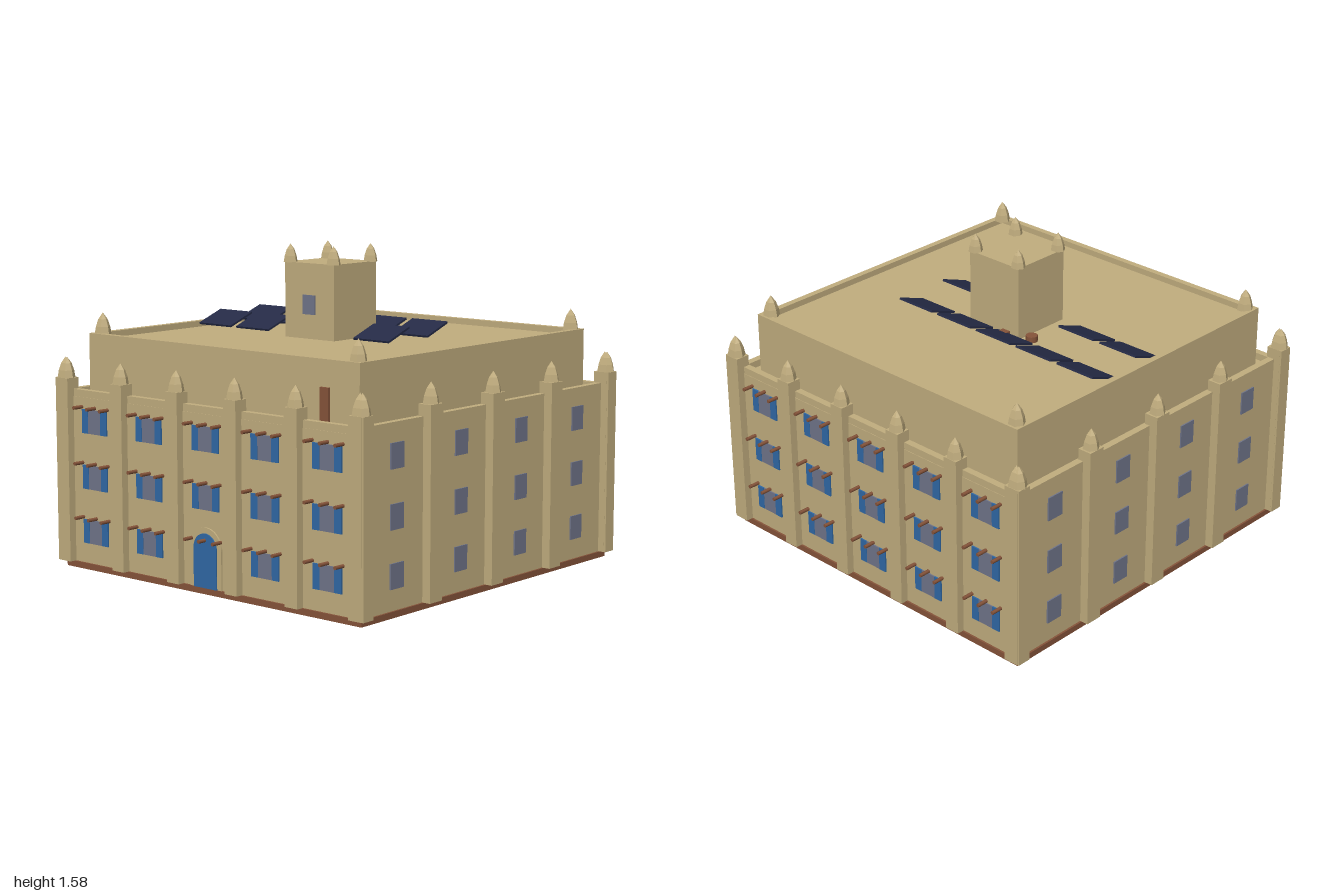
import * as THREE from 'three';

const mat = (name, color) => {
  const m = new THREE.MeshStandardMaterial({ color });
  m.name = name;
  return m;
};

export function createModel() {
  const stone = mat('stone', 0xc2ae7f);
  const wood = mat('brown wood', 0x86543a);
  const blue = mat('blue paint', 0x3069a6);
  const glass = mat('grey glass', 0x70758a);
  const solar = mat('solar navy', 0x252b47);

  const model = new THREE.Group();
  model.name = 'building';

  const add = (name, geometry, material, x = 0, y = 0, z = 0, parent = model) => {
    const mesh = new THREE.Mesh(geometry, material);
    mesh.name = name;
    mesh.position.set(x, y, z);
    parent.add(mesh);
    return mesh;
  };
  const box = (name, w, h, d, material, x, y, z, parent) =>
    add(name, new THREE.BoxGeometry(w, h, d), material, x, y, z, parent);
  // Box standing on a given height
  const block = (name, w, h, d, material, x, y0, z, parent) =>
    box(name, w, h, d, material, x, y0 + h / 2, z, parent);

  // Square wall ring around a roof
  const parapet = (name, half, inner, y0, h) => {
    const square = (Type, s) => {
      const p = new Type();
      p.moveTo(-s, -s).lineTo(s, -s).lineTo(s, s).lineTo(-s, s).closePath();
      return p;
    };
    const shape = square(THREE.Shape, half);
    shape.holes.push(square(THREE.Path, inner));
    const g = new THREE.ExtrudeGeometry(shape, { depth: h, bevelEnabled: false });
    add(name, g.rotateX(-Math.PI / 2), stone, 0, y0, 0);
  };

  // Six-sided pointed spire with flat facets
  const spireProfile = [[0, 0], [0.04, 0], [0.034, 0.035], [0.022, 0.07], [0, 0.1]]
    .map(([r, y]) => new THREE.Vector2(r, y));
  const spireGeo = new THREE.LatheGeometry(spireProfile, 6, Math.PI / 6).toNonIndexed();
  spireGeo.computeVertexNormals();
  const spire = (x, y, z, s = 1) =>
    add('spire', spireGeo, stone, x, y, z).scale.setScalar(s);

  // Plinth, main storeys and upper storey
  block('plinth', 1.9, 0.03, 1.905, wood, 0, 0, 0);
  block('mainWalls', 1.88, 0.82, 1.885, stone, 0, 0.03, 0);
  parapet('terraceParapet', 0.94, 0.905, 0.85, 0.035);
  block('upperStorey', 1.725, 0.275, 1.725, stone, 0, 0.85, 0);
  parapet('roofParapet', 0.8625, 0.83, 1.125, 0.03);
  block('terraceDoor', 0.05, 0.18, 0.014, wood, 0.665, 0.85, 0.87);

  // Buttresses topped with spires
  const buttress = (x, z, w, d) => {
    block('buttress', w, 0.91, d, stone, x, 0.03, z);
    spire(x, 0.94, z);
  };
  for (const side of [-1, 1]) {
    for (const x of [-0.935, -0.56, -0.187, 0.187, 0.56, 0.935]) buttress(x, side * 0.945, 0.077, 0.073);
    for (const z of [-0.467, 0, 0.467]) buttress(side * 0.948, z, 0.073, 0.09);
    for (const z of [-0.944, 0.944]) buttress(side * 0.948, z, 0.07, 0.07);
    for (const z of [-0.815, 0.815]) spire(side * 0.815, 1.15, z, 1.05);
  }

  // Windows, shutters and projecting beams on front and back
  const rows = [0.13, 0.4, 0.675];
  const beamGeo = new THREE.CylinderGeometry(0.009, 0.009, 0.08, 8).rotateX(Math.PI / 2);
  const facade = (name, hasDoor) => {
    const g = new THREE.Group();
    g.name = name;
    for (const y of rows) {
      for (let c = -2; c <= 2; c++) {
        const x = c * 0.373;
        for (const dx of [-0.09, 0, 0.09]) add('beam', beamGeo, wood, x + dx, y + 0.128, 0.96, g);
        if (hasDoor && c === 0 && y === rows[0]) continue;
        block('windowPane', 0.086, 0.118, 0.009, glass, x, y, 0.9445, g);
        for (const s of [-1, 1]) block('shutter', 0.042, 0.118, 0.009, blue, x + s * 0.064, y, 0.9455, g);
      }
    }
    model.add(g);
    return g;
  };
  const front = facade('frontFacade', true);
  facade('backFacade', false).rotation.y = Math.PI;

  // Arched door with a stone surround
  const arch = (r, spring) => {
    const s = new THREE.Shape();
    s.moveTo(-r, 0.03).lineTo(r, 0.03).lineTo(r, spring);
    s.absarc(0, spring, r, 0, Math.PI, false);
    s.closePath();
    return s;
  };
  const extrudeArch = (r, depth) =>
    new THREE.ExtrudeGeometry(arch(r, 0.217), { depth, bevelEnabled: false, curveSegments: 16 });
  add('doorSurround', extrudeArch(0.1, 0.01), stone, 0, 0, 0.9405, front);
  add('archedDoor', extrudeArch(0.073, 0.007), blue, 0, 0, 0.9495, front);

  // Plain windows on the sides
  for (const side of [-1, 1])
    for (const z of [-0.7, -0.233, 0.233, 0.7])
      for (const y of rows) block('sideWindow', 0.009, 0.118, 0.092, glass, side * 0.9425, y, z);

  // Roof tower
  block('tower', 0.316, 0.37, 0.316, stone, -0.052, 1.125, 0);
  for (const x of [-0.191, 0.087])
    for (const z of [-0.139, 0.139]) spire(x, 1.493, z, 0.9);
  block('towerWindow', 0.077, 0.095, 0.009, glass, -0.052, 1.245, 0.161);

  // Small roof fittings beside the tower
  add('roofBarrel', new THREE.CylinderGeometry(0.03, 0.03, 0.03, 10), wood, -0.262, 1.139, -0.12);
  block('roofCrate', 0.045, 0.028, 0.03, wood, -0.132, 1.125, -0.171);

  // Tilted solar panels in two rows
  const panelRows = [[-0.25, [0, 1, 2, 3, 4]], [0.048, [0, 1, 4]]];
  for (const [z, columns] of panelRows)
    for (const c of columns)
      box('solarPanel', 0.22, 0.01, 0.168, solar, -0.72 + c * 0.258, 1.171, z).rotation.x = 0.35;

  return model;
}
